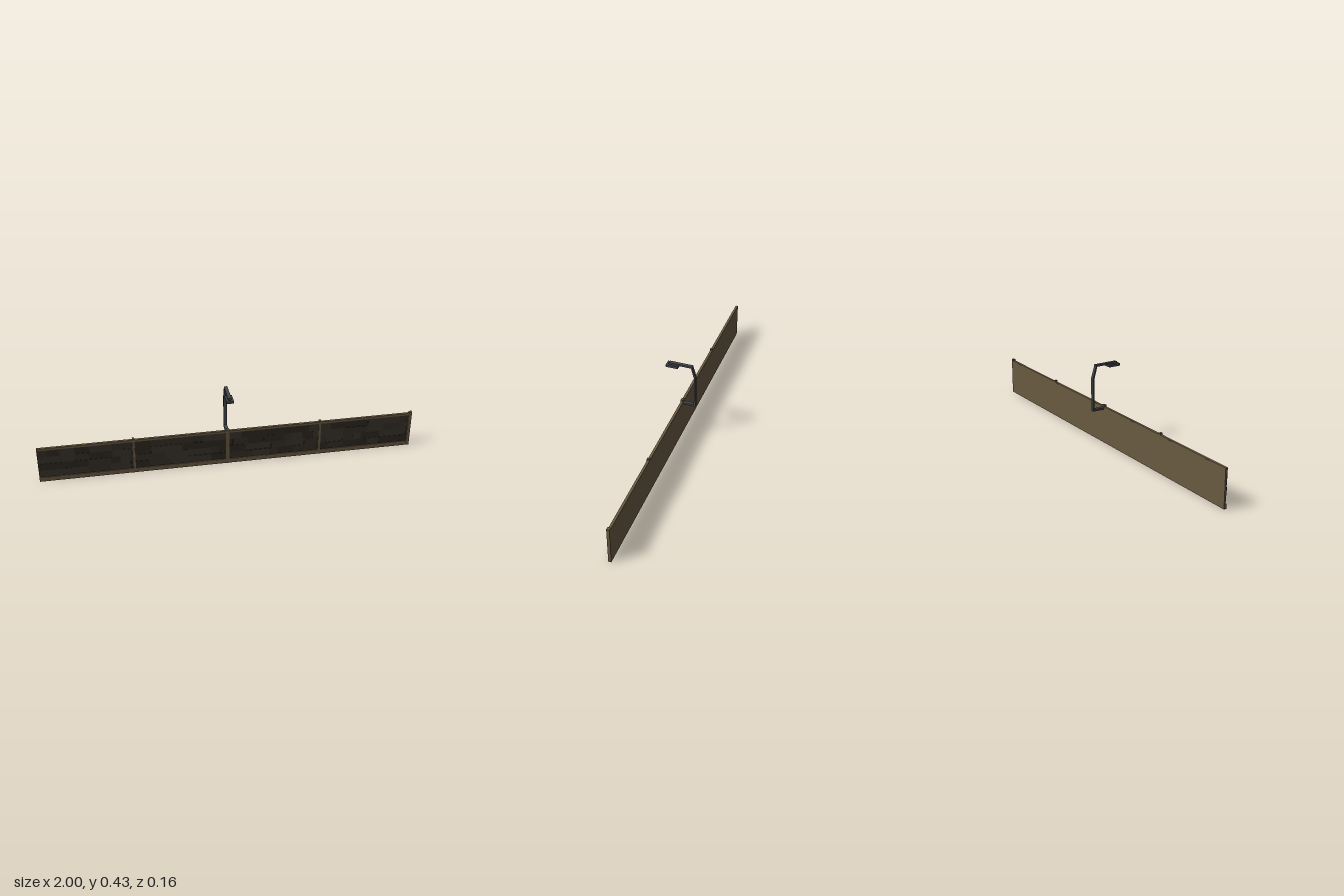
import * as THREE from 'three';

const mat = (color) => new THREE.MeshStandardMaterial({ color });

export function createModel() {
  const model = new THREE.Group();
  const wood = mat(0x6a5a42), stone = mat(0x332d25), metal = mat(0x45464a);
  const stoneShades = [stone, mat(0x2d2821), mat(0x38322a)];

  // Box given by its lower and upper limits on each axis
  const box = (name, material, x0, x1, y0, y1, z0, z1, parent = model) => {
    const mesh = new THREE.Mesh(new THREE.BoxGeometry(x1 - x0, y1 - y0, z1 - z0), material);
    mesh.position.set((x0 + x1) / 2, (y0 + y1) / 2, (z0 + z1) / 2);
    mesh.name = name;
    parent.add(mesh);
  };

  // Wall: flat backing board with rails along the front
  box('backBoard', wood, -1, 0.997, 0, 0.197, -0.012, -0.005);
  box('bottomRail', wood, -1, 0.998, 0, 0.025, -0.0118, 0.002);
  box('topRail', wood, -1, 0.998, 0.188, 0.2, -0.0118, 0.001);

  // Posts dividing the wall, standing slightly above the top rail
  const postXs = [-0.505, -0.01, 0.49, 0.992];
  for (const x of postXs) {
    const w = x === -0.01 ? 0.009 : x > 0.9 ? 0.008 : 0.006;
    box('post', wood, x - w, x + w, 0, 0.208, x > 0.9 ? -0.012 : -0.0115, 0.003);
  }

  // Dark cladding of irregular blocks at slightly differing depths
  const cladding = new THREE.Group();
  cladding.name = 'stoneCladding';
  model.add(cladding);
  let seed = 7;
  const rand = () => (seed = (seed * 16807) % 2147483647) / 2147483647;
  const rows = 4, y0 = 0.025, rowHeight = 0.163 / rows;
  for (let r = 0; r < rows; r++) {
    let x = -1;
    while (x < 0.99) {
      const end = Math.min(0.99, x + 0.04 + rand() * 0.09);
      const shade = stoneShades[Math.floor(rand() * 3)];
      const front = -0.0035 + Math.floor(rand() * 3) * 0.0015;
      box('stoneBlock', shade, x, end, y0 + r * rowHeight, y0 + (r + 1) * rowHeight, -0.005, front, cladding);
      x = end;
    }
  }

  // Lamp arm: bent bar rising behind the wall and reaching over it (z, y outline)
  const outline = [
    [-0.011, 0.185], [-0.079, 0.185], [-0.079, 0.365], [-0.061, 0.425], [-0.061, 0.434],
    [0.067, 0.434], [0.067, 0.424], [-0.053, 0.424], [-0.07, 0.363], [-0.07, 0.196], [-0.011, 0.196],
  ];
  const arm = new THREE.Mesh(
    new THREE.ExtrudeGeometry(new THREE.Shape(outline.map(([z, y]) => new THREE.Vector2(z, y))),
      { depth: 0.018, bevelEnabled: false }),
    metal);
  arm.rotation.y = -Math.PI / 2;
  arm.position.x = -0.001;
  arm.name = 'lampArm';
  model.add(arm);

  // Lamp head hanging under the arm tip
  box('lampHead', metal, -0.029, 0.009, 0.411, 0.424, 0.015, 0.08);

  return model;
}
